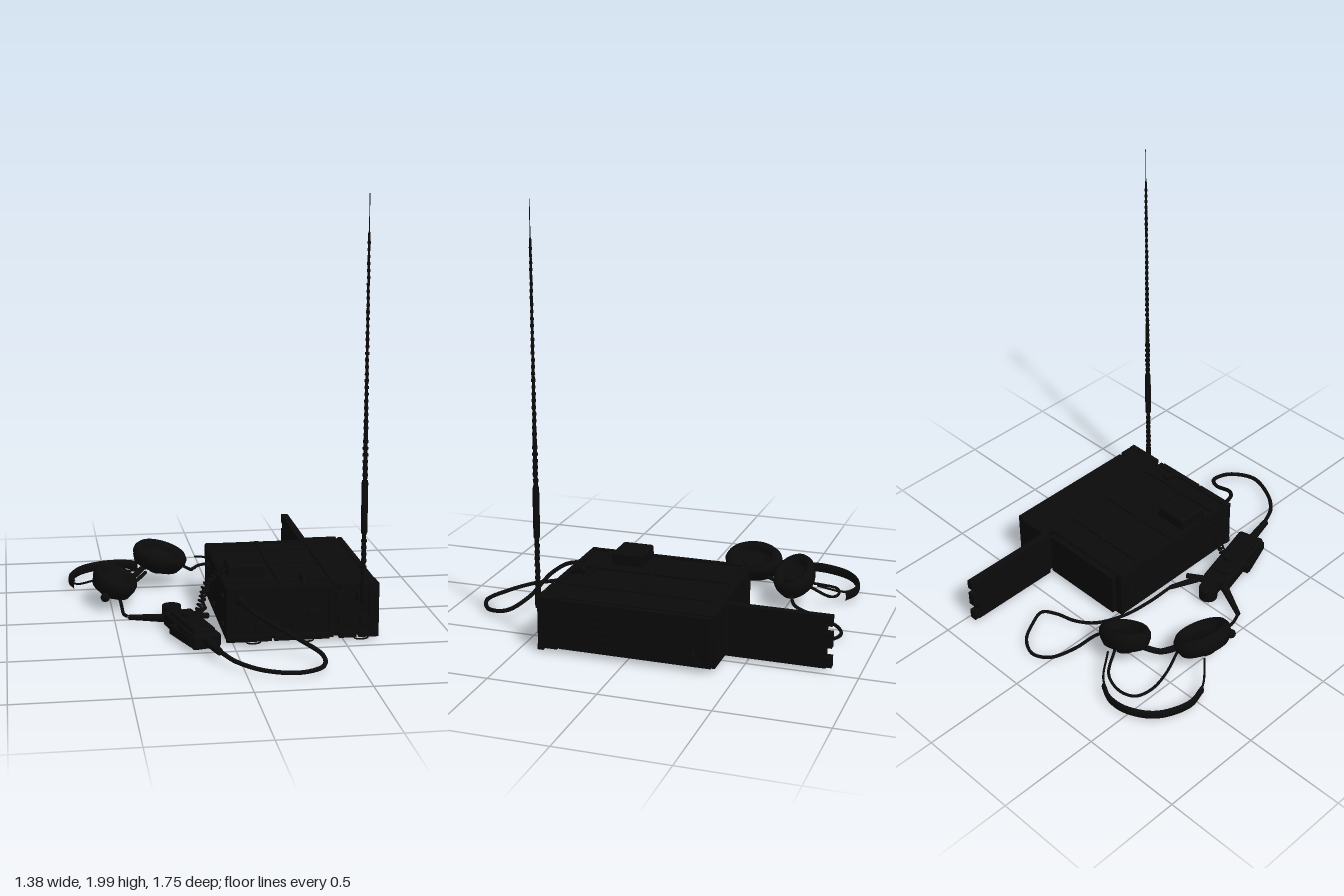
import * as THREE from 'three';
import { RoundedBoxGeometry } from 'three/addons/geometries/RoundedBoxGeometry.js';

const black = new THREE.MeshStandardMaterial({ color: 0x0b0b0b });
black.name = 'matt black';
const V = (p) => new THREE.Vector3(...p);

export function createModel() {
  const root = new THREE.Group();
  root.name = 'fieldRadio';

  const add = (name, geo, pos = [0, 0, 0], rot = [0, 0, 0], parent = root) => {
    const m = new THREE.Mesh(geo, black);
    m.name = name;
    m.position.set(...pos);
    m.rotation.set(...rot);
    parent.add(m);
    return m;
  };
  // box given by its minimum and maximum corners
  const box = (name, a, b, parent = root) => add(name,
    new THREE.BoxGeometry(b[0] - a[0], b[1] - a[1], b[2] - a[2]),
    a.map((v, i) => (v + b[i]) / 2), [0, 0, 0], parent);
  const tube = (name, pts, r, seg = 64) =>
    add(name, new THREE.TubeGeometry(new THREE.CatmullRomCurve3(pts.map(V)), seg, r, 8, false));
  // tapered rod between two points
  const rod = (name, a, b, r1, r2) => {
    const A = V(a), B = V(b), d = B.clone().sub(A);
    const m = add(name, new THREE.CylinderGeometry(r2, r1, d.length(), 14), A.clone().add(B).divideScalar(2).toArray());
    m.quaternion.setFromUnitVectors(new THREE.Vector3(0, 1, 0), d.normalize());
    return m;
  };
  // knob or socket facing the front
  const knob = (name, x, y, r, depth, z = 0.4) =>
    add(name, new THREE.CylinderGeometry(r * 0.9, r, depth, 20), [x, y, z + depth / 2], [Math.PI / 2, 0, 0]);

  // Main case, battery bay and side plate with a narrow gap
  box('mainCase', [-0.03, 0.02, -0.355], [0.46, 0.255, 0.39]);
  box('rearCover', [0.005, 0.03, -0.38], [0.44, 0.25, -0.355]);
  box('batteryBay', [0.46, 0.02, -0.4], [0.631, 0.26, 0.39]);
  box('sidePlate', [0.638, 0.03, -0.39], [0.662, 0.258, 0.31]);
  box('sideFrontBlock', [0.62, 0.025, 0.32], [0.662, 0.262, 0.41]);
  for (const y of [0.06, 0.14, 0.225]) box('sideSpacer', [0.625, y - 0.006, -0.36], [0.64, y + 0.006, -0.34]);
  for (let i = 0; i < 5; i++) box('sideRib', [0.66, 0.055 + i * 0.035, -0.05], [0.668, 0.067 + i * 0.035, 0.3]);
  for (const z of [-0.3, -0.05, 0.25]) box('sideLink', [0.62, 0.03, z], [0.645, 0.05, z + 0.03]);

  // Raised strips on the lid and runners underneath
  for (const x of [-0.025, 0.215, 0.455]) box('lidStripLong', [x, 0.25, -0.35], [x + 0.02, 0.265, 0.38]);
  for (const z of [-0.35, -0.22, 0.01, 0.3]) box('lidStripCross', [-0.03, 0.25, z], [0.47, 0.263, z + 0.018]);
  for (const x of [0.0, 0.42, 0.58]) box('runner', [x, 0.012, -0.33], [x + 0.03, 0.024, 0.37]);
  for (const z of [-0.2, 0.02, 0.31])
    for (const y of [0.07, 0.2])
      add('sideBolt', new THREE.CylinderGeometry(0.014, 0.014, 0.016, 12), [-0.034, y, z], [0, 0, Math.PI / 2]);
  tube('rearHookRight', [[-0.03, 0.2, -0.32], [-0.06, 0.21, -0.31], [-0.08, 0.2, -0.345]], 0.005, 12);
  tube('rearHookLeft', [[0.66, 0.1, -0.31], [0.68, 0.08, -0.32], [0.675, 0.05, -0.345]], 0.005, 12);

  // Front panel with protective frame
  for (const [a, b] of [[-0.03, 0.175], [0.185, 0.435], [0.48, 0.56], [0.57, 0.662]]) {
    box('frameTop', [a, 0.242, 0.385], [b, 0.264, 0.413]);
    box('frameBottom', [a, 0.015, 0.385], [b, 0.04, 0.413]);
  }
  for (const x of [-0.03, 0.435, 0.64]) box('framePost', [x, 0.02, 0.385], [x + 0.02, 0.26, 0.41]);
  for (const [x, y, r] of [[0.035, 0.2, 0.026], [0.035, 0.1, 0.024], [0.12, 0.08, 0.02], [0.2, 0.08, 0.02],
    [0.28, 0.08, 0.02], [0.37, 0.12, 0.03], [0.49, 0.2, 0.028], [0.5, 0.1, 0.024], [0.6, 0.09, 0.026]])
    knob('controlKnob', x, y, r, 0.022, 0.388);
  box('displayBezel', [0.1, 0.15, 0.388], [0.32, 0.225, 0.398]);
  for (let i = 0; i < 6; i++) box('pushButton', [0.11 + i * 0.035, 0.115, 0.388], [0.13 + i * 0.035, 0.13, 0.4]);
  for (const x of [0.06, 0.3, 0.55])
    tube('footBail', [[x, 0.03, 0.405], [x, 0.014, 0.418], [x + 0.06, 0.014, 0.418], [x + 0.06, 0.03, 0.405]], 0.004, 24);

  // Open hinged door at the back
  const door = new THREE.Group();
  door.name = 'openDoor';
  root.add(door);
  box('doorPanel', [0.442, 0.02, -0.85], [0.476, 0.26, -0.39], door);
  for (const [a, b] of [[0.025, 0.075], [0.115, 0.185], [0.215, 0.26]])
    box('doorLug', [0.442, a, -0.875], [0.476, b, -0.85], door);
  add('doorHinge', new THREE.CylinderGeometry(0.014, 0.014, 0.22, 12), [0.47, 0.14, -0.4], [0, 0, 0], door);

  // Morse key box and small latch on the lid
  box('keyBase', [0.0, 0.262, 0.095], [0.165, 0.285, 0.245]);
  add('keyBox', new RoundedBoxGeometry(0.165, 0.042, 0.15, 2, 0.01), [0.082, 0.3, 0.17]);
  rod('latchLever', [0.32, 0.26, 0.39], [0.335, 0.293, 0.32], 0.012, 0.012);
  add('latchKnob', new THREE.SphereGeometry(0.02, 14, 10), [0.33, 0.286, 0.325]);

  // Whip antenna with mount, sleeves and small joint rings
  const ax = 0.58, az = 0.44;
  knob('antennaMount', ax, 0.2, 0.024, 0.045, 0.39);
  const whip = [[0, 0.18], [0.014, 0.18], [0.014, 0.27], [0.01, 0.28], [0.01, 0.5], [0.015, 0.51], [0.015, 0.735],
    [0.01, 0.745], [0.009, 0.95], [0.007, 1.13], [0.006, 1.4], [0.005, 1.83], [0.002, 1.84], [0.0015, 2], [0, 2]];
  add('antennaWhip', new THREE.LatheGeometry(whip.map((p) => new THREE.Vector2(...p)), 12), [ax, 0, az]);
  for (let y = 0.29; y < 1.8; y += 0.03) {
    if (y > 0.5 && y < 0.74) continue;
    const r = y < 0.95 ? 0.0125 : 0.0105 - (y - 0.95) * 0.0045;
    add('antennaRing', new THREE.CylinderGeometry(r, r, 0.012, 10), [ax, y, az]);
  }

  // Push to talk unit
  const ptt = new THREE.Group();
  ptt.name = 'talkUnit';
  ptt.position.set(-0.172, 0, 0.288);
  ptt.rotation.y = 0.25;
  root.add(ptt);
  add('talkBody', new RoundedBoxGeometry(0.135, 0.068, 0.39, 3, 0.015), [0, 0.046, 0], [0, 0, 0], ptt);
  add('talkCover', new RoundedBoxGeometry(0.105, 0.03, 0.3, 2, 0.01), [0, 0.082, 0.01], [0, 0, 0], ptt);
  add('talkButton', new THREE.CylinderGeometry(0.03, 0.034, 0.025, 20), [0, 0.1, -0.04], [0, 0, 0], ptt);
  add('talkKnob', new THREE.CylinderGeometry(0.045, 0.045, 0.06, 24), [0, 0.05, -0.262], [0, 0, 0], ptt);
  box('knobNeck', [-0.03, 0.02, -0.25], [0.03, 0.075, -0.18], ptt);
  add('beltClip', new THREE.BoxGeometry(0.008, 0.04, 0.2), [-0.085, 0.05, 0.08], [0, 0.1, 0], ptt);
  box('clipPivot', [-0.095, 0.03, -0.03], [-0.06, 0.07, 0.0], ptt);
  rod('strainReliefFront', [-0.128, 0.05, 0.46], [-0.09, 0.05, 0.62], 0.021, 0.016);
  rod('strainReliefLeft', [-0.18, 0.045, 0.1], [-0.068, 0.03, -0.06].map((v, i) => v + [0, 0, 0.1][i] * 1.2), 0.02, 0.013);
  rod('strainReliefTip', [-0.13, 0.04, 0.07], [-0.068, 0.03, -0.06], 0.016, 0.011);
  rod('strainReliefRight', [-0.27, 0.045, 0.115], [-0.435, 0.03, 0.035], 0.02, 0.012);

  // Cables
  tube('radioCable', [[-0.09, 0.05, 0.61], [-0.03, 0.04, 0.73], [0.075, 0.03, 0.82], [0.215, 0.03, 0.865],
    [0.33, 0.03, 0.8], [0.345, 0.045, 0.7], [0.26, 0.09, 0.625], [0.12, 0.165, 0.57], [0.055, 0.2, 0.505],
    [0.035, 0.205, 0.4]], 0.01, 90);
  rod('radioPlug', [0.035, 0.203, 0.4], [0.037, 0.205, 0.455], 0.021, 0.015);
  tube('longHeadsetCable', [[-0.068, 0.03, -0.06], [-0.06, 0.02, -0.2], [-0.04, 0.02, -0.35], [0.02, 0.02, -0.48],
    [0.1, 0.02, -0.54], [0.2, 0.02, -0.57], [0.26, 0.02, -0.61], [0.23, 0.02, -0.7], [0.17, 0.02, -0.79],
    [0.08, 0.02, -0.83], [0, 0.025, -0.79], [-0.05, 0.04, -0.68], [-0.08, 0.07, -0.57], [-0.14, 0.11, -0.54]], 0.008, 110);
  tube('shortHeadsetCable', [[-0.435, 0.03, 0.035], [-0.455, 0.025, -0.03], [-0.458, 0.035, -0.1], [-0.465, 0.07, -0.2]], 0.008, 24);
  tube('earLinkCable', [[-0.43, 0.07, -0.38], [-0.47, 0.04, -0.5], [-0.485, 0.03, -0.61], [-0.46, 0.03, -0.69],
    [-0.38, 0.03, -0.715], [-0.29, 0.05, -0.69], [-0.24, 0.11, -0.6]], 0.007, 60);

  // Coiled key cable: a helix wound around a guide curve
  const guide = new THREE.CatmullRomCurve3([[-0.15, 0.08, 0.25], [-0.12, 0.16, 0.235], [-0.1, 0.23, 0.23], [-0.05, 0.275, 0.215], [0.01, 0.295, 0.18]].map(V));
  const coil = [];
  const frames = guide.computeFrenetFrames(180, false);
  for (let i = 0; i <= 180; i++) {
    const a = i / 180 * Math.PI * 2 * 15;
    coil.push(guide.getPointAt(i / 180).addScaledVector(frames.normals[i], 0.014 * Math.cos(a))
      .addScaledVector(frames.binormals[i], 0.014 * Math.sin(a)).toArray());
  }
  add('coiledCable', new THREE.TubeGeometry(new THREE.CatmullRomCurve3(coil.map(V)), 300, 0.005, 6, false));

  // Oval ear cups with hollow cushions, tilted on the ground
  const cupProfile = [[0, -0.052], [0.6, -0.05], [0.86, -0.035], [0.95, -0.01], [0.95, 0.0], [1, 0.006], [1, 0.03],
    [0.9, 0.05], [0.72, 0.05], [0.6, 0.03], [0.55, 0.01], [0, 0.01]].map((p) => new THREE.Vector2(...p));
  const earCup = (name, pos, rot, rx, rz) => {
    const g = new THREE.Group();
    g.name = name;
    g.position.set(...pos);
    g.rotation.set(...rot);
    root.add(g);
    const shell = new THREE.LatheGeometry(cupProfile, 36);
    shell.scale(rx, 1, rz);
    shell.computeVertexNormals();
    add('cupShell', shell, [0, 0, 0], [0, 0, 0], g);
    add('cupCap', new THREE.CylinderGeometry(0.045, 0.04, 0.02, 20), [0, -0.058, 0], [0, 0, 0], g);
    add('cupSpeaker', new THREE.CylinderGeometry(0.05, 0.055, 0.015, 20), [0, 0.015, 0], [0, 0, 0], g);
  };
  earCup('rightEarCup', [-0.485, 0.108, -0.265], [0, -0.15, -0.42], 0.11, 0.147);
  earCup('leftEarCup', [-0.24, 0.145, -0.535], [0.3, 0, -0.3], 0.138, 0.1);

  // Headband: thin wire yokes and a flattened padded band
  tube('headbandWire', [[-0.57, 0.1, -0.345], [-0.65, 0.055, -0.44], [-0.68, 0.045, -0.55], [-0.63, 0.045, -0.7],
    [-0.45, 0.05, -0.79], [-0.32, 0.07, -0.75], [-0.235, 0.12, -0.64]], 0.005, 60);
  const band = new THREE.TubeGeometry(new THREE.CatmullRomCurve3([[-0.66, 0, -0.455], [-0.682, 0, -0.56],
    [-0.62, 0, -0.71], [-0.5, 0, -0.785], [-0.4, 0, -0.79], [-0.325, 0, -0.755]].map(V)), 48, 0.01, 10, false);
  band.scale(1, 2.4, 1);
  band.computeVertexNormals();
  add('headband', band, [0, 0.045, 0]);

  // Microphone boom between the cups
  tube('boomArm', [[-0.43, 0.09, -0.37], [-0.38, 0.08, -0.44], [-0.32, 0.11, -0.5]], 0.014, 20);
  tube('boomStrap', [[-0.4, 0.07, -0.36], [-0.36, 0.065, -0.43], [-0.31, 0.09, -0.48]], 0.009, 20);
  add('cupFitting', new THREE.SphereGeometry(0.022, 14, 10), [-0.535, 0.08, -0.125]);

  return root;
}
